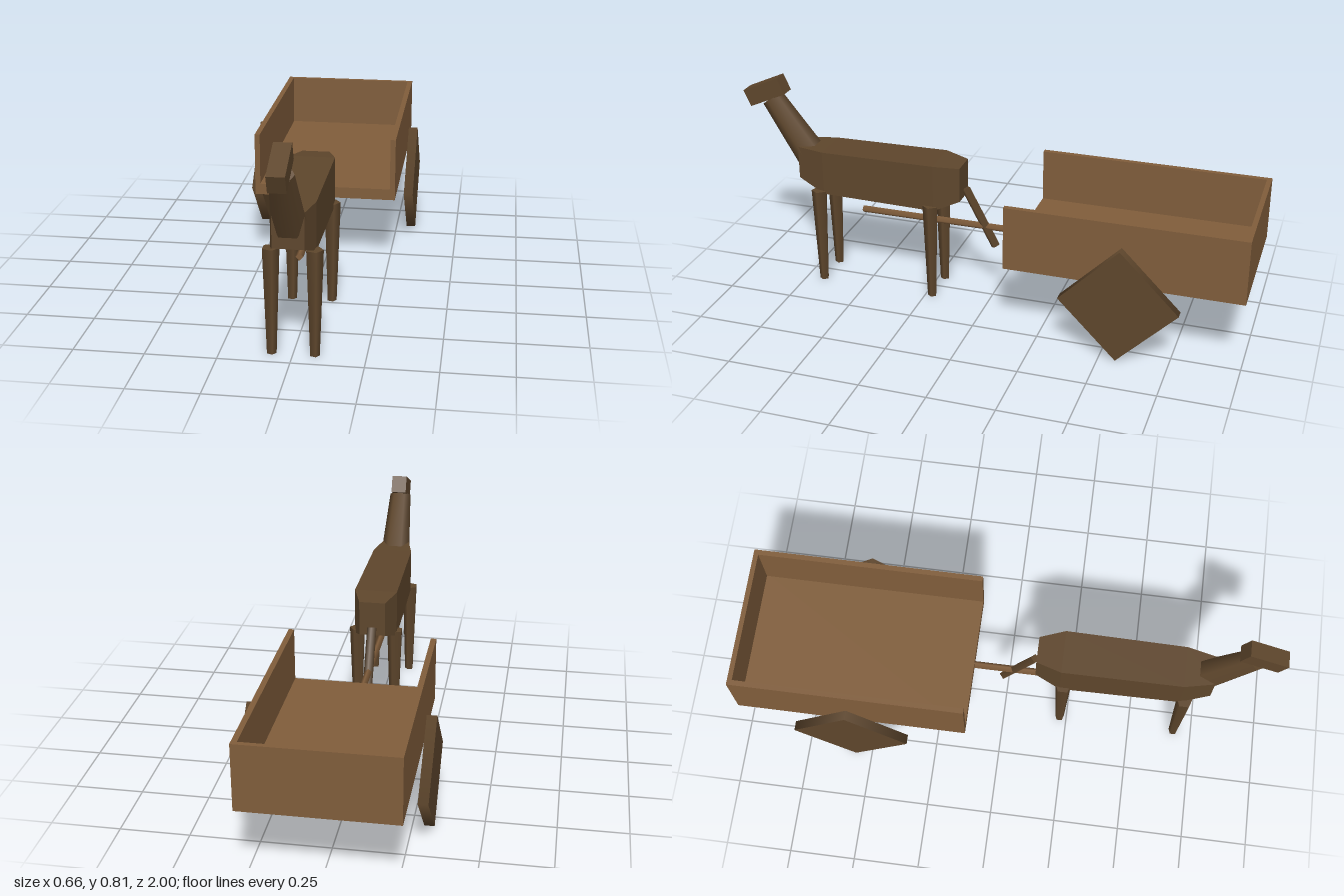
import * as THREE from 'three';

const darkWood = new THREE.MeshStandardMaterial({ name: 'dark brown', color: 0x5e462c });
const lightWood = new THREE.MeshStandardMaterial({ name: 'light brown', color: 0x805d3b });

function add(parent, name, geometry, material, x = 0, y = 0, z = 0) {
  const mesh = new THREE.Mesh(geometry, material);
  mesh.name = name;
  mesh.position.set(x, y, z);
  parent.add(mesh);
  return mesh;
}

// Tapered rod between two points in the x = const plane
function rod(parent, name, material, from, to, r0, r1, sides, turn = 0) {
  const a = new THREE.Vector3(...from);
  const b = new THREE.Vector3(...to);
  const dir = b.clone().sub(a);
  const geometry = new THREE.CylinderGeometry(r1, r0, dir.length(), sides, 1, false, turn);
  const mesh = add(parent, name, geometry, material);
  mesh.position.copy(a).add(b).multiplyScalar(0.5);
  mesh.quaternion.setFromUnitVectors(new THREE.Vector3(0, 1, 0), dir.normalize());
  return mesh;
}

// Box trunk whose four cross-sections narrow toward both ends
function trunkGeometry() {
  const sections = [ // z, bottom, top, half width
    [0.115, 0.405, 0.54, 0.05],
    [0.21, 0.367, 0.55, 0.082],
    [0.66, 0.373, 0.546, 0.078],
    [0.77, 0.418, 0.546, 0.054],
  ];
  const box = new THREE.BoxGeometry(1, 1, 1, 1, 1, 3);
  const p = box.attributes.position;
  for (let i = 0; i < p.count; i++) {
    const [z, bottom, top, half] = sections[Math.round((p.getZ(i) + 0.5) * 3)];
    p.setXYZ(i, Math.sign(p.getX(i)) * half, p.getY(i) > 0 ? top : bottom, z);
  }
  const geometry = box.toNonIndexed();
  geometry.computeVertexNormals();
  return geometry;
}

function createAnimal() {
  const animal = new THREE.Group();
  animal.name = 'draftAnimal';
  add(animal, 'trunk', trunkGeometry(), darkWood);
  rod(animal, 'neck', darkWood, [0, 0.49, 0.735], [0, 0.715, 0.89], 0.06, 0.043, 6, Math.PI / 6);
  const head = add(animal, 'head', new THREE.BoxGeometry(0.06, 0.068, 0.158), darkWood, 0, 0.744, 0.912);
  head.rotation.x = 0.42;
  rod(animal, 'tail', darkWood, [0, 0.215, -0.012], [0, 0.44, 0.107], 0.018, 0.018, 4);

  // Four five-sided legs
  for (const [end, z] of [['front', 0.68], ['rear', 0.223]]) {
    for (const [side, x] of [['Left', 0.074], ['Right', -0.074]]) {
      rod(animal, `${end}${side}Leg`, darkWood, [x, 0, z], [x, 0.385, z], 0.0175, 0.031, 5, Math.PI / 2);
    }
  }
  return animal;
}

function createCart() {
  const cart = new THREE.Group();
  cart.name = 'cart';

  // Bed, open at the front
  add(cart, 'floor', new THREE.BoxGeometry(0.546, 0.043, 0.875), lightWood, 0, 0.2965, -0.5625);
  add(cart, 'backBoard', new THREE.BoxGeometry(0.506, 0.2, 0.018), lightWood, 0, 0.418, -0.991);
  add(cart, 'shaft', new THREE.BufferGeometry(), lightWood).removeFromParent();
  rod(cart, 'shaft', lightWood, [0, 0.293, -0.13], [0, 0.293, 0.53], 0.014, 0.014, 4);

  // Side boards and square wheels standing on a corner
  for (const [side, s] of [['left', 1], ['right', -1]]) {
    add(cart, `${side}Board`, new THREE.BoxGeometry(0.02, 0.2, 0.875), lightWood, s * 0.263, 0.418, -0.5625);
    const wheel = add(cart, `${side}Wheel`, new THREE.CylinderGeometry(0.218, 0.218, 0.036, 4), darkWood, s * 0.31, 0.22, -0.5625);
    wheel.rotation.z = Math.PI / 2;
  }
  return cart;
}

export function createModel() {
  const model = new THREE.Group();
  model.name = 'animalAndCart';
  model.add(createAnimal(), createCart());
  return model;
}
